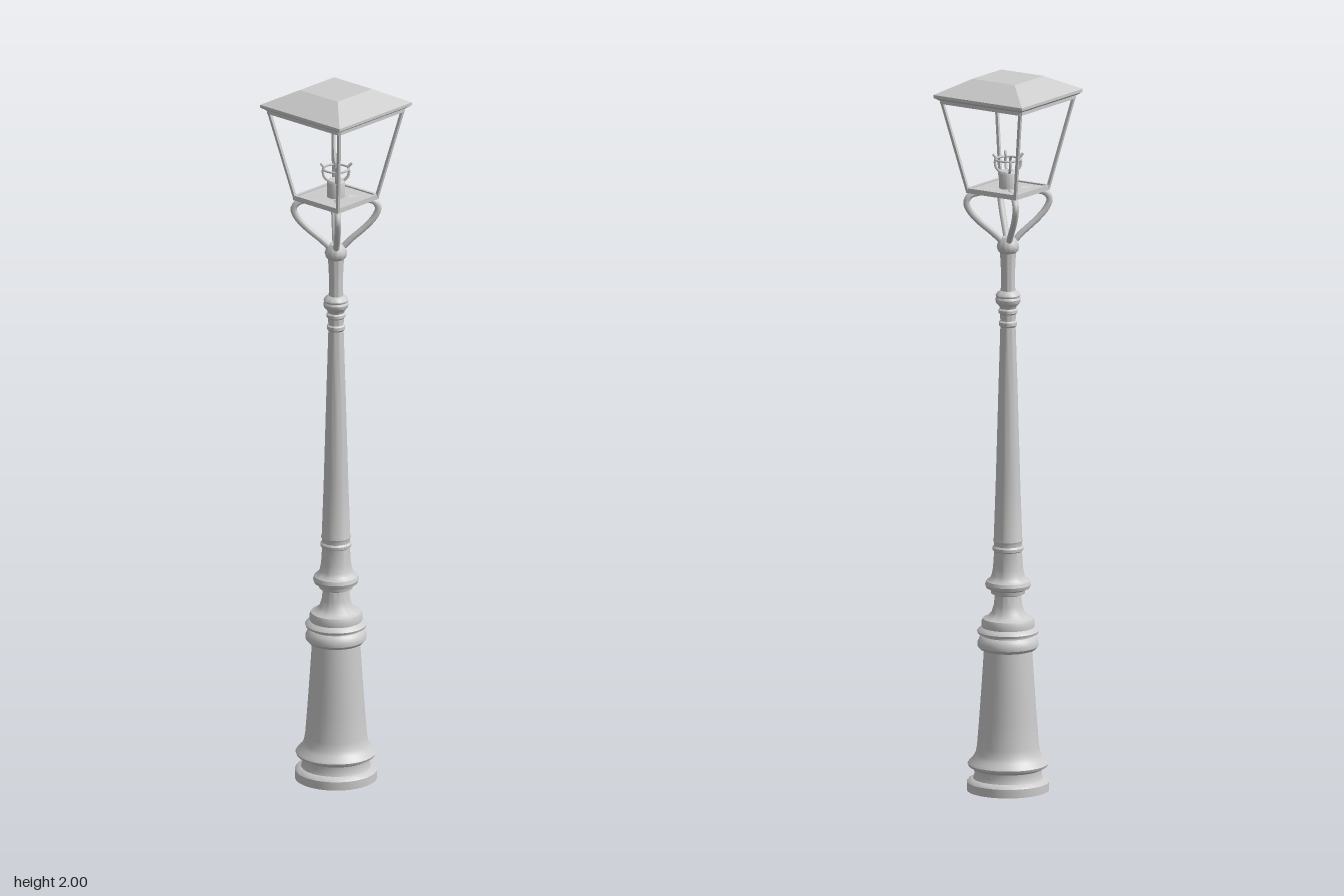
import * as THREE from 'three';
import { toCreasedNormals } from 'three/addons/utils/BufferGeometryUtils.js';

const grey = new THREE.MeshStandardMaterial({ color: 0xcccccc, side: THREE.DoubleSide });

function part(parent, name, geometry) {
  const mesh = new THREE.Mesh(geometry, grey);
  mesh.name = name;
  parent.add(mesh);
  return mesh;
}

const vectors = (points) => points.map(([r, y]) => new THREE.Vector2(r, y));

// Round turned part from [radius, height] pairs
const turned = (points, sides = 40) =>
  toCreasedNormals(new THREE.LatheGeometry(vectors(points), sides), 0.6);

// Square part from [half width, height] pairs, corners on the diagonals
const squared = (points) =>
  toCreasedNormals(new THREE.LatheGeometry(
    vectors(points.map(([h, y]) => [h * Math.SQRT2, y])), 4, Math.PI / 4), 0.15);

// Straight bar with a square section between two points
function bar(parent, name, a, b, width) {
  const dir = b.clone().sub(a);
  const mesh = part(parent, name, new THREE.BoxGeometry(width, dir.length(), width));
  mesh.position.copy(a).add(b).multiplyScalar(0.5);
  mesh.quaternion.setFromUnitVectors(new THREE.Vector3(0, 1, 0), dir.normalize());
}

export function createModel() {
  const model = new THREE.Group();
  model.name = 'streetLamp';

  // Pedestal, open underneath
  part(model, 'pedestal', turned([
    [0.113, 0], [0.113, 0.024], [0.108, 0.03], [0.096, 0.034], [0.092, 0.045], [0.093, 0.06],
    [0.108, 0.068], [0.111, 0.075], [0.106, 0.082], [0.096, 0.092], [0.089, 0.105],
    [0.085, 0.125], [0.079, 0.2], [0.072, 0.3], [0.066, 0.393],
    [0.076, 0.396], [0.083, 0.404], [0.084, 0.415], [0.078, 0.428], [0.071, 0.434],
    [0.071, 0.439], [0.083, 0.441], [0.085, 0.447], [0.08, 0.453], [0.072, 0.458],
    [0.073, 0.472], [0.069, 0.482], [0.055, 0.488], [0.045, 0.5], [0.039, 0.52], [0.036, 0.548],
  ]));

  // Tapered shaft with collars
  part(model, 'shaft', turned([
    [0.036, 0.548], [0.046, 0.552], [0.048, 0.562], [0.06, 0.568], [0.063, 0.577],
    [0.06, 0.587], [0.05, 0.594], [0.045, 0.604], [0.041, 0.625], [0.038, 0.67],
    [0.042, 0.673], [0.043, 0.681], [0.039, 0.686], [0.039, 0.696], [0.041, 0.7], [0.039, 0.708],
    [0.034, 0.85], [0.027, 1.1], [0.021, 1.3], [0.025, 1.305], [0.025, 1.314], [0.021, 1.318],
    [0.022, 1.336], [0.026, 1.34], [0.026, 1.348], [0.022, 1.352],
    [0.025, 1.36], [0.033, 1.368], [0.035, 1.378], [0.032, 1.384], [0.034, 1.389], [0.03, 1.396],
    [0.02, 1.402], [0.019, 1.45], [0.022, 1.508], [0.028, 1.514], [0.031, 1.526],
    [0.027, 1.54], [0.018, 1.552], [0, 1.556],
  ], 32));

  const lantern = new THREE.Group();
  lantern.name = 'lantern';
  model.add(lantern);

  // Scrolled arms below the lantern, set on the diagonals
  const armPath = new THREE.CatmullRomCurve3([
    [0.012, 1.535], [0.038, 1.562], [0.083, 1.602], [0.108, 1.632], [0.116, 1.655],
    [0.106, 1.672], [0.08, 1.68], [0.035, 1.685],
  ].map(([r, y]) => new THREE.Vector3(r, y, 0)));
  for (let i = 0; i < 4; i++) {
    const arm = part(lantern, 'supportArm', new THREE.TubeGeometry(armPath, 28, 0.009, 8));
    arm.rotation.y = Math.PI / 4 + i * Math.PI / 2;
  }

  // Floor plate
  part(lantern, 'floor', squared([[0, 1.68], [0.083, 1.68], [0.083, 1.69], [0, 1.69]]));

  // Slanted corner posts with top and bottom rails
  const corner = (i, half, y) => {
    const a = Math.PI / 4 + i * Math.PI / 2;
    return new THREE.Vector3(Math.cos(a) * half * Math.SQRT2, y, Math.sin(a) * half * Math.SQRT2);
  };
  for (let i = 0; i < 4; i++) {
    bar(lantern, 'cornerPost', corner(i, 0.079, 1.685), corner(i, 0.131, 1.945), 0.008);
    bar(lantern, 'bottomRail', corner(i, 0.079, 1.69), corner(i + 1, 0.079, 1.69), 0.008);
    bar(lantern, 'topRail', corner(i, 0.131, 1.939), corner(i + 1, 0.131, 1.939), 0.01);
  }

  // Hollow hipped roof with a flat top and a stepped eave
  part(lantern, 'roof', squared([
    [0.134, 1.942], [0.14, 1.946], [0.147, 1.951], [0.147, 1.959], [0.07, 2], [0, 2],
  ]));

  // Lamp socket with four flared prongs
  part(lantern, 'lampSocket', turned([
    [0, 1.688], [0.025, 1.688], [0.025, 1.733], [0.022, 1.738], [0, 1.738],
  ], 20));
  const prongPath = new THREE.CatmullRomCurve3([
    [0.02, 1.734], [0.033, 1.748], [0.036, 1.763], [0.034, 1.775], [0.042, 1.785],
  ].map(([r, y]) => new THREE.Vector3(r, y, 0)));
  for (let i = 0; i < 4; i++) {
    const prong = part(lantern, 'lampProng', new THREE.TubeGeometry(prongPath, 12, 0.004, 6));
    prong.rotation.y = Math.PI / 4 + i * Math.PI / 2;
  }
  const ring = part(lantern, 'lampRing', new THREE.TorusGeometry(0.035, 0.003, 6, 24));
  ring.rotation.x = Math.PI / 2;
  ring.position.y = 1.77;

  return model;
}
